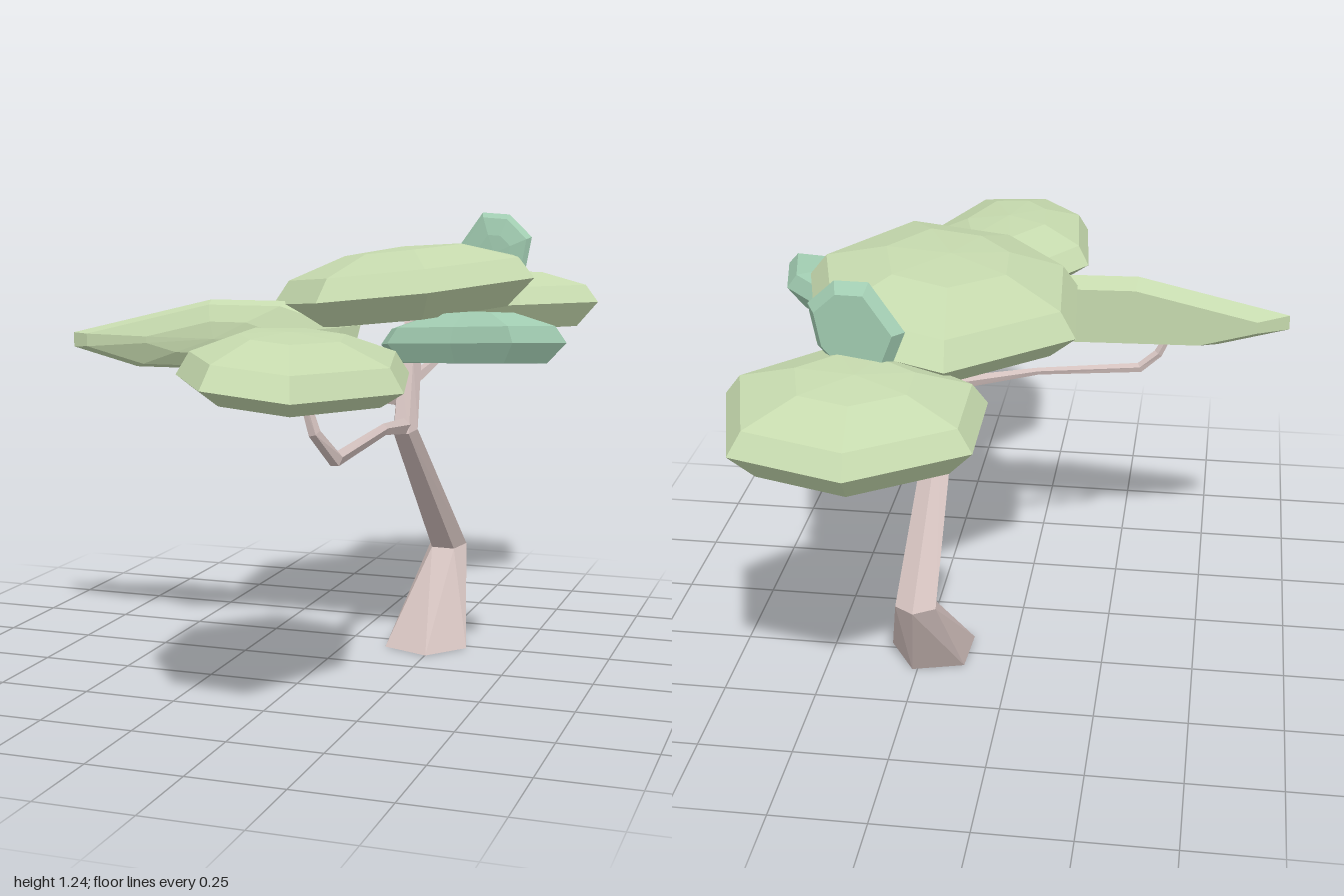
import * as THREE from 'three';

const mat = (color) => new THREE.MeshStandardMaterial({ color, flatShading: true });
const BARK = mat(0xd2c0bd), LEAF = mat(0xc6daae), TEAL = mat(0xa2cdb2);

// Faceted skin over stacked rings of equal length, each running clockwise seen from the last ring
function skin(rings) {
  const pos = [], n = rings[0].length;
  const tri = (a, b, c) => {
    const area = b.clone().sub(a).cross(c.clone().sub(a)).length();
    if (area > 1e-9) for (const v of [a, b, c]) pos.push(v.x, v.y, v.z);
  };
  for (let r = 0; r < rings.length - 1; r++) {
    for (let i = 0; i < n; i++) {
      const j = (i + 1) % n, lo = rings[r], hi = rings[r + 1];
      tri(lo[i], hi[i], hi[j]);
      tri(lo[i], hi[j], lo[j]);
    }
  }
  const g = new THREE.BufferGeometry();
  g.setAttribute('position', new THREE.Float32BufferAttribute(pos, 3));
  g.computeVertexNormals();
  return g;
}

function named(name, geometry, material) {
  const m = new THREE.Mesh(geometry, material);
  m.name = name;
  return m;
}

// Leaf pad: flat underside, wide rim, low dome; outline is [x, z], clockwise from above
function padGeometry(outline, y0, up, down, slopeX = 0, slopeZ = 0) {
  const cx = outline.reduce((s, p) => s + p[0], 0) / outline.length;
  const cz = outline.reduce((s, p) => s + p[1], 0) / outline.length;
  const layers = [[0, -down], [0.8, -down], [1, 0], [0.88, up * 0.5], [0.45, up * 0.92], [0, up]];
  return skin(layers.map(([s, h]) => outline.map(([x, z]) => {
    const dx = (x - cx) * s, dz = (z - cz) * s;
    return new THREE.Vector3(cx + dx, y0 + h + dx * slopeX + dz * slopeZ, cz + dz);
  })));
}

// Upright pad: outline is [x, y], clockwise from the front, thickness along z
function uprightGeometry(outline, z0, half, slopeX) {
  return padGeometry(outline.map(([x, y]) => [x, -y]), z0, half, half, slopeX).rotateX(Math.PI / 2);
}

// Tapered five-sided limb, closed at both ends: points are [x, y, z, radius]
function limbGeometry(points) {
  const sides = 5, last = points.length - 1;
  const P = points.map((p) => new THREE.Vector3(p[0], p[1], p[2]));
  const rings = P.map((p, k) => {
    const grounded = p.y === 0;
    const t = new THREE.Vector3();
    if (k > 0) t.add(p.clone().sub(P[k - 1]).normalize());
    if (k < last) t.add(P[k + 1].clone().sub(p).normalize());
    if (grounded) t.set(0, 1, 0);
    t.normalize();
    const ref = Math.abs(t.x) > 0.8 ? new THREE.Vector3(0, 0, 1) : new THREE.Vector3(1, 0, 0);
    const v = new THREE.Vector3().crossVectors(ref, t).normalize();
    const u = new THREE.Vector3().crossVectors(t, v);
    // The foot is twisted a little against the rest of the trunk
    const phase = grounded ? 1.31 : 0.96;
    return Array.from({ length: sides }, (_, i) => {
      const a = phase + (i / sides) * Math.PI * 2, r = points[k][3];
      return p.clone().addScaledVector(u, Math.cos(a) * r).addScaledVector(v, Math.sin(a) * r);
    });
  });
  const cap = (p) => Array(sides).fill(p);
  return skin([cap(P[0]), ...rings, cap(P[last])]);
}

export function createModel() {
  const tree = new THREE.Group();
  tree.name = 'windsweptTree';

  // Trunk and branches
  const limbs = {
    trunk: [[0.22, 0, -0.235, 0.122], [0.23, 0.26, -0.425, 0.057], [0.22, 0.66, 0, 0.036],
      [0.205, 0.84, -0.09, 0.034], [0.2, 0.99, -0.15, 0.022]],
    frontBranch: [[0.22, 0.67, -0.01, 0.024], [0.22, 0.69, 0.2, 0.016], [0.21, 0.667, 0.55, 0.02],
      [0.18, 0.74, 0.62, 0.016], [0.15, 0.85, 0.63, 0.012]],
    backBranch: [[0.21, 0.78, -0.06, 0.022], [0.23, 0.825, -0.3, 0.012], [0.29, 0.81, -0.6, 0.014],
      [0.3, 0.84, -0.67, 0.013], [0.31, 0.91, -0.68, 0.01]],
    rightBranch: [[0.21, 0.735, -0.06, 0.02], [-0.04, 0.762, 0, 0.01], [-0.31, 0.748, 0.09, 0.014],
      [-0.36, 0.79, 0.1, 0.013], [-0.39, 0.85, 0.105, 0.009]],
  };
  for (const [name, points] of Object.entries(limbs)) {
    tree.add(named(name, limbGeometry(points), BARK));
  }

  // Broad green pads
  tree.add(named('crownPad', padGeometry([[0.11, -0.61], [0.43, -0.54], [0.54, -0.14], [0.35, 0.24],
    [0.05, 0.24], [-0.14, 0.05], [-0.17, -0.3]], 1.03, 0.12, 0.07, 0.11), LEAF));
  tree.add(named('frontPad', padGeometry([[0.07, 0.24], [0.32, 0.3], [0.41, 0.65], [0.26, 1],
    [0.04, 0.98], [-0.1, 0.79], [-0.13, 0.48]], 0.87, 0.11, 0.04, -0.08), LEAF));
  tree.add(named('backPad', padGeometry([[0.27, -1], [0.54, -0.95], [0.62, -0.67], [0.43, -0.47],
    [0.22, -0.47], [0.01, -0.58], [0.01, -0.82]], 0.95, 0.105, 0.07, 0.06, 0.06), LEAF));

  // Narrow upright pad on the long side branch
  tree.add(named('rightPad', uprightGeometry([[-0.71, 0.87], [-0.71, 0.91], [-0.3, 1.01], [-0.07, 1.01],
    [0.12, 0.95], [0.1, 0.87], [-0.1, 0.82], [-0.52, 0.82]], 0.1, 0.055, -0.05), LEAF));

  // Blue-green pads
  tree.add(named('leftPad', padGeometry([[0.25, -0.14], [0.5, -0.03], [0.68, 0.12], [0.71, 0.265],
    [0.57, 0.245], [0.39, 0.17], [0.2, 0.1], [0.14, -0.04]], 0.91, 0.085, 0.05, 0.03, 0.11), TEAL));
  tree.add(named('topTuft', uprightGeometry([[0.2, 1.12], [0.285, 1.235], [0.37, 1.23], [0.44, 1.165],
    [0.42, 1.06], [0.35, 0.99], [0.24, 1.02]], -0.58, 0.032, 0.17), TEAL));

  return tree;
}
